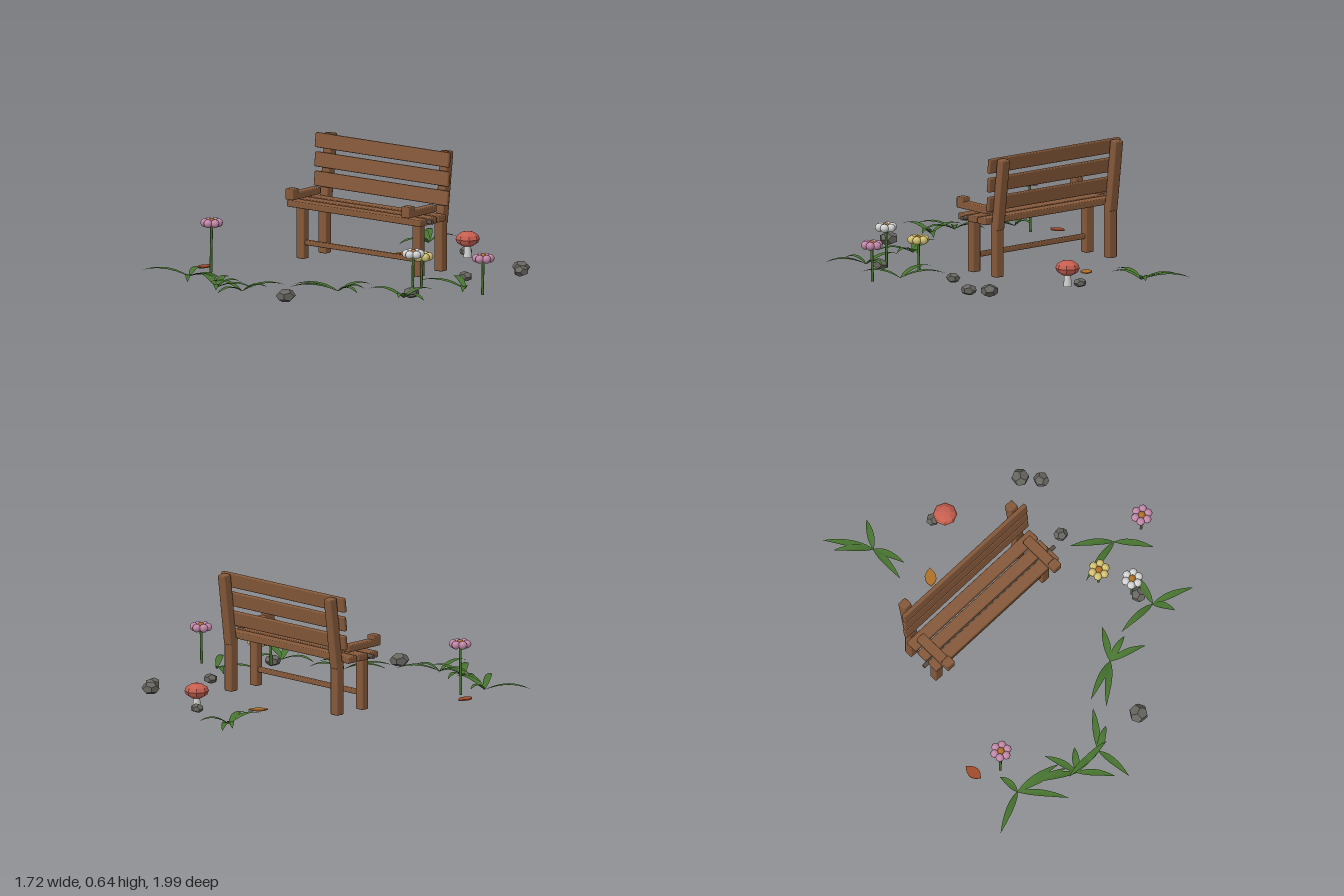
import * as THREE from 'three';
import { RoundedBoxGeometry } from 'three/addons/geometries/RoundedBoxGeometry.js';

const material = (name, color, extra = {}) => {
  const m = new THREE.MeshStandardMaterial({ color, ...extra });
  m.name = name;
  return m;
};

export function createModel() {
  const wood = material('wood', 0x85593a);
  const metal = material('bar metal', 0x5c5149);
  const green = material('leaf green', 0x47732f, { side: THREE.DoubleSide });
  const stone = material('stone', 0x67655f, { flatShading: true });
  const red = material('mushroom red', 0xc65f50, { flatShading: true });
  const white = material('white', 0xd6d5d6);
  const pink = material('petal pink', 0xc48aab);
  const yellow = material('petal yellow', 0xd6c373);
  const orange = material('orange', 0xb07028, { side: THREE.DoubleSide });
  const russet = material('russet', 0xa04c2a, { side: THREE.DoubleSide });

  const model = new THREE.Group();
  model.name = 'gardenBench';

  const group = (name, parent = model) => {
    const g = new THREE.Group();
    g.name = name;
    parent.add(g);
    return g;
  };
  const add = (parent, name, geometry, mat, x, y, z) => {
    const mesh = new THREE.Mesh(geometry, mat);
    mesh.name = name;
    mesh.position.set(x, y, z);
    parent.add(mesh);
    return mesh;
  };

  // Bench
  const bench = group('bench');
  const board = (name, w, h, d, x, y, z, tilt = 0) => {
    const m = add(bench, name, new RoundedBoxGeometry(w, h, d, 1, 0.006), wood, x, y, z);
    m.rotation.x = tilt;
  };
  const midX = -0.116;
  for (const x of [-0.492, 0.26]) {
    board('frontLeg', 0.05, 0.275, 0.045, x, 0.167, -0.08);
    board('rearLeg', 0.05, 0.28, 0.048, x, 0.17, -0.26);
    board('backPost', 0.05, 0.37, 0.048, x, 0.458, -0.287, -0.125);
    board('armrest', 0.05, 0.036, 0.23, x, 0.363, -0.085);
    board('armrestEnd', 0.05, 0.032, 0.05, x, 0.387, 0.005);
  }
  for (const z of [-0.053, -0.128, -0.203]) board('seatSlat', 0.866, 0.034, 0.065, midX, 0.314, z);
  [[0.409, -0.252], [0.508, -0.256], [0.606, -0.26]].forEach(([y, z]) =>
    board('backSlat', 0.866, 0.076, 0.022, midX, y, z, -0.125));
  board('stretcher', 0.71, 0.026, 0.026, midX, 0.114, -0.08);
  add(bench, 'crossBar', new THREE.CylinderGeometry(0.011, 0.011, 0.925, 8), metal, midX, 0.315, -0.085)
    .rotation.z = Math.PI / 2;

  // Stones: x, z, radius
  const stones = group('stones');
  [[0.077, -0.69, 0.034], [0.553, -0.543, 0.047], [0.62, -0.46, 0.041],
    [0.485, -0.18, 0.037], [0.093, 0.783, 0.051], [0.54, 0.325, 0.042]].forEach(([x, z, r], i) => {
    const s = add(stones, 'stone', new THREE.DodecahedronGeometry(r), stone, x, 0.042, z);
    s.scale.y = 0.7;
    s.rotation.y = i * 0.9;
  });

  // Mushroom
  const mushroom = group('mushroom');
  add(mushroom, 'mushroomStem', new THREE.CylinderGeometry(0.016, 0.021, 0.08, 8), white, 0.123, 0.062, -0.647);
  add(mushroom, 'mushroomCap', new THREE.SphereGeometry(0.062, 8, 6), red, 0.123, 0.118, -0.647).scale.y = 0.64;

  // Flowers: x, head height, z, petal material
  const petalGeometry = new THREE.SphereGeometry(0.022, 8, 6);
  const heartGeometry = new THREE.SphereGeometry(0.02, 8, 6);
  [[-0.61, 0.288, 0.507, pink], [0.806, 0.214, 0.077, pink],
    [0.452, 0.187, 0.13, yellow], [0.527, 0.235, 0.294, white]].forEach(([x, y, z, mat]) => {
    const flower = group('flower');
    flower.position.set(x, 0, z);
    const stalk = new THREE.LineCurve3(new THREE.Vector3(-0.005, 0.025, 0), new THREE.Vector3(0, y, 0));
    add(flower, 'flowerStem', new THREE.TubeGeometry(stalk, 1, 0.007, 6), green, 0, 0, 0);
    add(flower, 'flowerHeart', heartGeometry, orange, 0, y + 0.004, 0);
    for (let i = 0; i < 6; i++) {
      const a = (i * Math.PI) / 3 + 0.4;
      add(flower, 'petal', petalGeometry, mat, Math.cos(a) * 0.035, y, Math.sin(a) * 0.035);
    }
  });

  // Arched blade with a folded midrib, running from the root to the tip
  const bladeGeometry = (dx, dz) => {
    const length = Math.hypot(dx, dz), rows = 7, points = [], index = [];
    const nx = -dz / length, nz = dx / length;
    for (let i = 0; i <= rows; i++) {
      const t = i / rows;
      const half = 0.002 + 0.018 * Math.sin(Math.PI * t ** 0.85) * (1 - 0.25 * t);
      const w = i === rows ? 0 : half;
      const y = 0.03 + 0.135 * t - 0.113 * t * t;
      for (const s of [-1, 0, 1]) points.push(dx * t + nx * w * s, y - (s ? 0 : w * 0.3), dz * t + nz * w * s);
      if (i < rows) for (const k of [0, 1]) {
        const a = i * 3 + k;
        index.push(a, a + 1, a + 3, a + 1, a + 4, a + 3);
      }
    }
    const g = new THREE.BufferGeometry();
    g.setAttribute('position', new THREE.Float32BufferAttribute(points, 3));
    g.setIndex(index.reverse());
    g.computeVertexNormals();
    return g;
  };

  // Grass tufts: root followed by blade tips, as x, z pairs
  const tufts = [
    [[-0.246, -0.788], [-0.4, -0.995], [-0.4, -0.92], [-0.165, -0.92], [-0.265, -0.575], [-0.19, -0.62]],
    [[0.653, 0.035], [0.47, -0.1], [0.4, 0.09], [0.77, 0.2]],
    [[0.558, 0.41], [0.335, 0.413], [0.76, 0.495], [0.6, 0.23], [0.61, 0.52]],
    [[0.19, 0.48], [0.283, 0.325], [-0.03, 0.565], [0.37, 0.55], [0, 0.645], [0.33, 0.44]],
    [[-0.637, 0.655], [-0.86, 0.76], [-0.48, 0.865], [-0.65, 0.54], [-0.39, 0.7], [-0.37, 0.745]],
    [[-0.35, 0.79], [-0.41, 0.62], [-0.56, 0.675], [-0.23, 0.945], [-0.27, 0.69], [-0.13, 0.78]],
    [[-0.19, 0.785], [-0.18, 0.995], [-0.055, 0.605], [-0.075, 0.72], [-0.4, 0.785]],
  ];
  for (const [[x, z], ...tips] of tufts) {
    const tuft = group('grassTuft');
    for (const [tx, tz] of tips) add(tuft, 'blade', bladeGeometry(tx - x, tz - z), green, x, 0, z);
  }

  // Fallen leaves
  const leaf = new THREE.Shape();
  leaf.moveTo(0, -0.05);
  leaf.quadraticCurveTo(0.06, -0.005, 0, 0.05);
  leaf.quadraticCurveTo(-0.06, -0.005, 0, -0.05);
  const leafGeometry = new THREE.ExtrudeGeometry(leaf, { depth: 0.006, bevelEnabled: false, curveSegments: 5 });
  leafGeometry.rotateX(-Math.PI / 2);
  add(model, 'orangeLeaf', leafGeometry, orange, -0.146, 0.033, -0.477).rotation.y = -0.7;
  add(model, 'russetLeaf', leafGeometry, russet, -0.725, 0.033, 0.425).rotation.y = 0.1;

  // Rest the lowest stone on the ground
  const box = new THREE.Box3().setFromObject(model);
  for (const child of model.children) child.position.y -= box.min.y;
  return model;
}
